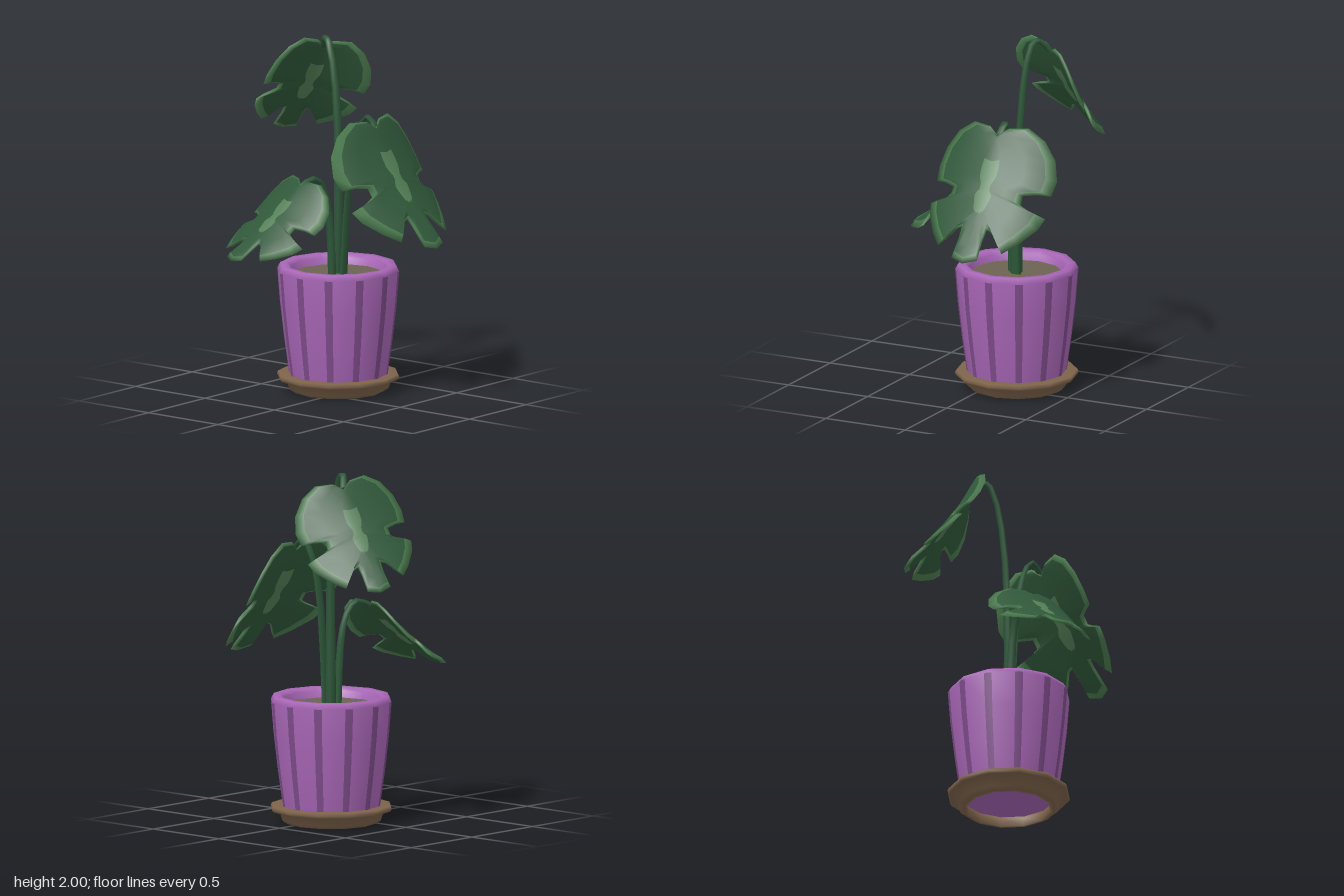
import * as THREE from 'three';
import { mergeVertices } from 'three/addons/utils/BufferGeometryUtils.js';

const V = (p) => new THREE.Vector3(...p);
const mat = (color) => new THREE.MeshStandardMaterial({ color });
const COLORS = {
  pot: mat(0xa866b6), stripe: mat(0x7e4c8a), soil: mat(0x6c6252), saucer: mat(0x7d634b),
  stem: mat(0x2c5638), leafEdge: mat(0x4a7a4e), leafBody: mat(0x30583a), leafPatch: mat(0x547f57),
};
const SIDES = 12;

function mesh(name, geometry, material) {
  const m = new THREE.Mesh(geometry, material);
  m.name = name;
  return m;
}

function lathe(name, profile, material, segments = SIDES, start = 0, length = Math.PI * 2) {
  const pts = profile.map(([r, y]) => new THREE.Vector2(r, y));
  return mesh(name, new THREE.LatheGeometry(pts, segments, start, length), material);
}

// Dark strip folded over one corner of the pot, its long edges lying flat on the facets
function potStripe(wall, angle) {
  const half = 0.066, corner = Math.PI / SIDES;
  const stripe = lathe('potStripe', wall.map(([r, y]) => [r + 0.001, y]), COLORS.stripe, 2, angle - half, half * 2);
  const pos = stripe.geometry.attributes.position;
  const shrink = Math.cos(corner) / Math.cos(corner - half);
  for (let i = 0; i < pos.count; i++) {
    if (Math.floor(i / wall.length) !== 1) pos.setXYZ(i, pos.getX(i) * shrink, pos.getY(i), pos.getZ(i) * shrink);
  }
  return stripe;
}

// Half outline of a split leaf: across, along, and the midrib position it runs in to
const OUTLINE = [
  [0, 0.02, 0.05], [0.06, -0.03, 0.06], [0.17, -0.05, 0.1], [0.27, 0.0, 0.13],
  [0.34, 0.09, 0.17], [0.37, 0.2, 0.21], [0.36, 0.29, 0.25], [0.29, 0.305, 0.28],
  [0.22, 0.33, 0.3], [0.22, 0.385, 0.33], [0.28, 0.41, 0.34], [0.36, 0.425, 0.36],
  [0.34, 0.5, 0.38], [0.27, 0.61, 0.41], [0.2, 0.69, 0.43], [0.13, 0.59, 0.45],
  [0.08, 0.57, 0.47], [0.075, 0.64, 0.5], [0.08, 0.76, 0.52], [0, 0.79, 0.55],
];
const LEAF_LENGTH = 0.79;
const RINGS = [0, 0.15, 0.45, 0.86, 1];

// Closed, curled leaf shell built from rings running from the outline to the midrib
function leaf(name, { base, tip, side, scale }) {
  const along = V(tip).sub(V(base)).normalize();
  const across = V(side);
  across.addScaledVector(along, -across.dot(along)).normalize();
  const normal = new THREE.Vector3().crossVectors(across, along);
  const loop = [...OUTLINE, ...OUTLINE.slice(1, -1).reverse().map(([u, v, s]) => [-u, v, s])];
  const n = loop.length;
  const positions = [];
  for (const face of [1, -1]) {
    for (const t of RINGS) {
      for (const [u0, v0, s] of loop) {
        const u = u0 * (1 - t);
        const v = v0 + (s - v0) * t;
        const w = (t > 0 ? 0.012 * face : 0) - 0.8 * u * u - 0.2 * v * (LEAF_LENGTH - v);
        const p = V(base).addScaledVector(across, u * scale)
          .addScaledVector(along, v * scale).addScaledVector(normal, w * scale);
        positions.push(p.x, p.y, p.z);
      }
    }
  }
  const parts = { leafEdge: [], leafBody: [], leafPatch: [] };
  for (let f = 0; f < 2; f++) {
    for (let r = 0; r < RINGS.length - 1; r++) {
      for (let i = 0; i < n; i++) {
        const j = (i + 1) % n;
        const o = (f * RINGS.length + r) * n;
        const [a, b, c, d] = [o + i, o + j, o + n + j, o + n + i];
        const rib = (loop[i][2] + loop[j][2]) / 2;
        const part = r === 0 ? 'leafEdge' : r === 3 && rib > 0.18 && rib < 0.46 ? 'leafPatch' : 'leafBody';
        parts[part].push(...(f === 0 ? [a, b, c, a, c, d] : [a, c, b, a, d, c]));
      }
    }
  }
  // Normals are worked out on the whole shell so the coloured areas blend smoothly
  let shell = new THREE.BufferGeometry();
  shell.setAttribute('position', new THREE.Float32BufferAttribute(positions, 3));
  shell.setIndex(Object.values(parts).flat());
  shell = mergeVertices(shell, 1e-5);
  shell.computeVertexNormals();
  const index = Array.from(shell.index.array);
  const group = new THREE.Group();
  group.name = name;
  let start = 0;
  for (const [part, list] of Object.entries(parts)) {
    const g = shell.clone();
    g.setIndex(index.slice(start, start + list.length));
    start += list.length;
    group.add(mesh(part, g, COLORS[part]));
  }
  return group;
}

// Flattened six-sided stem swept along a curve, thicker at the foot
function stem(name, path, side, width, depth) {
  const curve = new THREE.CatmullRomCurve3(path.map(V));
  const steps = 2 * (path.length - 1), ring = 6;
  const across = V([side[0], 0, side[2]]).normalize();
  const positions = [], index = [];
  for (let i = 0; i <= steps; i++) {
    const t = i / steps;
    const p = curve.getPoint(t);
    const normal = curve.getTangent(t).cross(across).normalize();
    const k = 1.4 - 0.4 * Math.min(1, t * 2);
    for (let j = 0; j < ring; j++) {
      const a = (j / ring) * Math.PI * 2;
      const q = p.clone().addScaledVector(across, Math.cos(a) * width * k)
        .addScaledVector(normal, Math.sin(a) * depth * k);
      positions.push(q.x, q.y, q.z);
      if (i < steps) {
        const A = i * ring + j, B = i * ring + (j + 1) % ring;
        index.push(A, B, B + ring, A, B + ring, A + ring);
      }
    }
  }
  const g = new THREE.BufferGeometry();
  g.setAttribute('position', new THREE.Float32BufferAttribute(positions, 3));
  g.setIndex(index);
  g.computeVertexNormals();
  return mesh(name, g, COLORS.stem);
}

const FRONDS = [
  {
    name: 'left', base: [0.18, 1.545, -0.16], tip: [0.63, 0.9, -0.165], side: [0, 0, 1], scale: 1,
    path: [[-0.035, 0.65, -0.155], [0, 1.2, -0.16], [0.055, 1.48, -0.165], [0.125, 1.585, -0.17], [0.19, 1.53, -0.17]],
    width: 0.024, depth: 0.011,
  },
  {
    name: 'back', base: [-0.255, 1.935, -0.26], tip: [-0.63, 1.41, -0.36], side: [0.48, -0.16, -0.875], scale: 0.86,
    path: [[-0.07, 0.65, -0.15], [-0.07, 1.3, -0.155], [-0.1, 1.72, -0.165], [-0.165, 1.965, -0.185],
      [-0.21, 1.985, -0.205], [-0.26, 1.92, -0.255]],
    width: 0.021, depth: 0.016,
  },
  {
    name: 'front', base: [-0.115, 1.215, 0.115], tip: [-0.25, 0.84, 0.57], side: [-0.98, 0.04, -0.2], scale: 0.78,
    path: [[-0.08, 0.65, -0.11], [-0.085, 1.0, -0.09], [-0.085, 1.17, -0.04], [-0.09, 1.235, 0.04], [-0.115, 1.2, 0.13]],
    width: 0.021, depth: 0.015,
  },
];

export function createModel() {
  const model = new THREE.Group();
  model.name = 'pottedPlant';

  // Pot, soil and saucer share one axis
  const planter = new THREE.Group();
  planter.name = 'planter';
  planter.position.set(-0.065, 0, -0.145);
  const wall = [[0.279, 0.1], [0.307, 0.3], [0.33, 0.5], [0.345, 0.69]];
  planter.add(lathe('pot', [[0.262, 0.06], ...wall, [0.328, 0.72],
    [0.29, 0.72], [0.268, 0.7], [0.254, 0.64]], COLORS.pot));
  planter.add(lathe('potBottom', [[0, 0.065], [0.264, 0.065]], COLORS.pot));
  for (let i = 0; i < SIDES; i++) planter.add(potStripe(wall, (i / SIDES) * Math.PI * 2));
  planter.add(lathe('soil', [[0.262, 0.664], [0, 0.668]], COLORS.soil));
  planter.add(lathe('saucer', [[0.265, 0.08], [0.245, 0.05], [0.235, 0], [0.255, 0], [0.285, 0.02],
    [0.3, 0.065], [0.338, 0.07], [0.347, 0.085], [0.34, 0.1], [0.27, 0.1]], COLORS.saucer));
  model.add(planter);

  // Stems and leaves
  for (const f of FRONDS) {
    model.add(stem(f.name + 'Stem', f.path, f.side, f.width, f.depth));
    model.add(leaf(f.name + 'Leaf', f));
  }
  return model;
}
